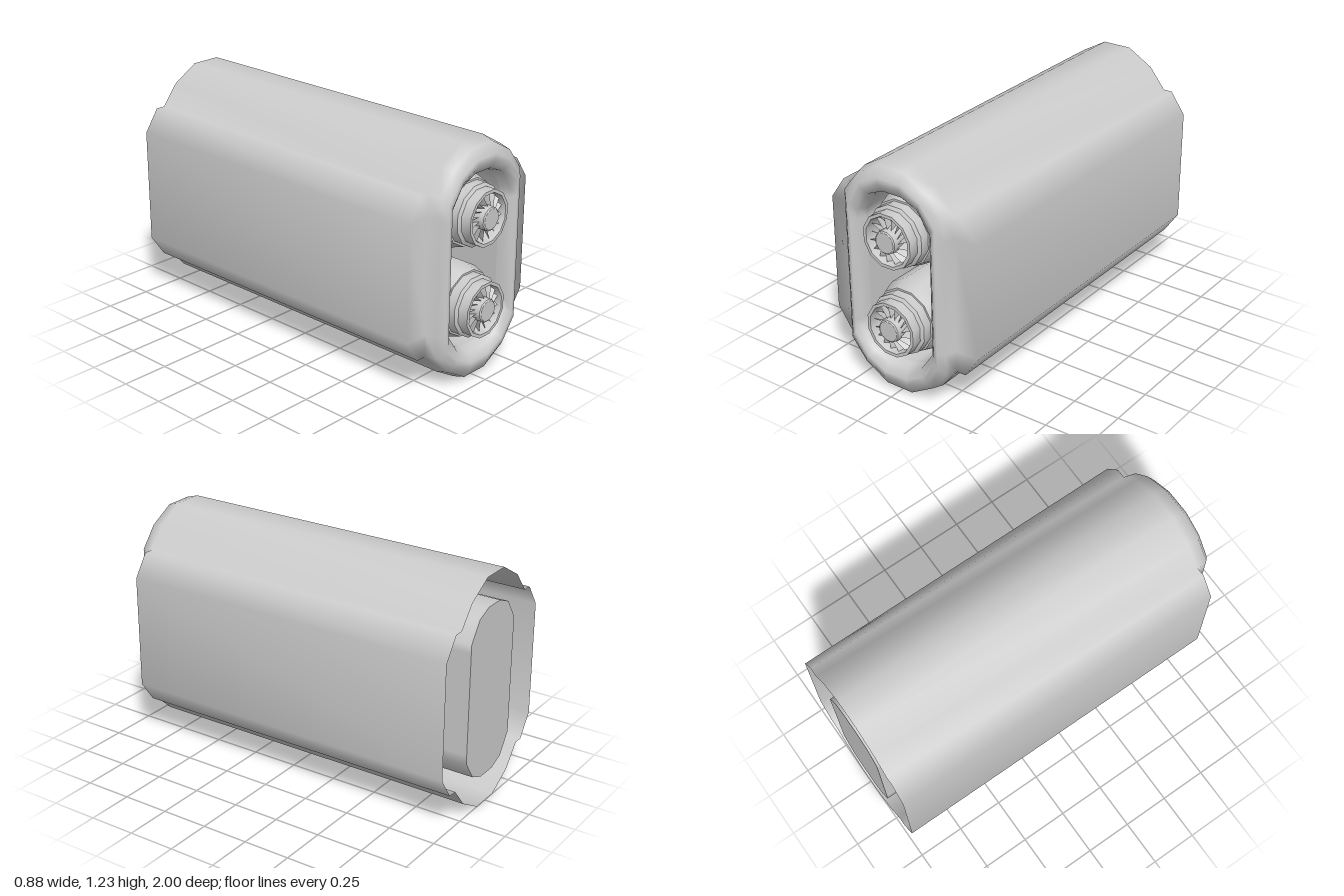
import * as THREE from 'three';
import { mergeVertices, toCreasedNormals } from 'three/addons/utils/BufferGeometryUtils.js';

const grey = new THREE.MeshStandardMaterial({ color: 0xcccccc, side: THREE.DoubleSide });
const MID = 0.615;

// Mirrors one quadrant (offsets from the centre line, side first) into a full counterclockwise loop
function mirrorLoop(quarter) {
  const back = [...quarter].reverse();
  return [
    ...quarter.map(([x, y]) => [x, MID + y]),
    ...back.map(([x, y]) => [-x, MID + y]),
    ...quarter.map(([x, y]) => [-x, MID - y]),
    ...back.map(([x, y]) => [x, MID - y]),
  ];
}

// Skins a list of { loop, z } sections, running from back to front
function loft(sections) {
  const n = sections[0].loop.length;
  const pos = sections.flatMap(({ loop, z }) => loop.flatMap(([x, y]) => [x, y, z]));
  const index = [];
  for (let i = 0; i < sections.length - 1; i++) {
    for (let j = 0; j < n; j++) {
      const a = i * n + j, b = i * n + (j + 1) % n;
      index.push(a, b, b + n, a, b + n, a + n);
    }
  }
  const geo = new THREE.BufferGeometry();
  geo.setAttribute('position', new THREE.Float32BufferAttribute(pos, 3));
  geo.setIndex(index);
  const merged = mergeVertices(geo, 1e-4);
  merged.computeVertexNormals();
  return merged;
}

function add(parent, name, geo) {
  const mesh = new THREE.Mesh(geo, grey);
  mesh.name = name;
  parent.add(mesh);
  return mesh;
}

// Twelve-sided turned part along z, from [radius, z] points
function turned(points) {
  const geo = new THREE.LatheGeometry(points.map(([r, z]) => new THREE.Vector2(r, z)), 12, Math.PI / 12);
  geo.rotateX(Math.PI / 2);
  return toCreasedNormals(geo, 0.6);
}

function createEngine() {
  const engine = new THREE.Group();
  add(engine, 'engineHousing', turned([
    [0, 0.2], [0.195, 0.2], [0.195, 0.8], [0.172, 0.87], [0.162, 0.87],
    [0.162, 0.92], [0.145, 0.93], [0.145, 0.985], [0.128, 0.985], [0.122, 0.96], [0.12, 0.9], [0, 0.9],
  ]));
  add(engine, 'fanHub', turned([
    [0.062, 0.9], [0.062, 0.985], [0.06, 0.995], [0.053, 1], [0, 1],
  ]));

  // Swept, pitched fan blades
  const blades = new THREE.Group();
  blades.name = 'fanBlades';
  const count = 16;
  const at = (r, a, z) => [r * Math.cos(a), r * Math.sin(a), z];
  const blade = new THREE.BufferGeometry();
  blade.setAttribute('position', new THREE.Float32BufferAttribute([
    ...at(0.058, 0, 0.975), ...at(0.122, 0.25, 0.965),
    ...at(0.122, 0.55, 0.91), ...at(0.058, 0.35, 0.91),
  ], 3));
  blade.setIndex([0, 1, 2, 0, 2, 3]);
  blade.computeVertexNormals();
  for (let i = 0; i < count; i++) {
    add(blades, 'fanBlade', blade).rotation.z = (i / count) * Math.PI * 2;
  }
  engine.add(blades);
  return engine;
}

export function createModel() {
  const model = new THREE.Group();

  // Hull outline with side bulges, the same outline without them, and the intake opening
  const hull = mirrorLoop([[0.44, 0.305], [0.36, 0.422], [0.31, 0.422], [0.22, 0.533], [0.08, 0.615]]);
  const rim = mirrorLoop([[0.31, 0.305], [0.31, 0.422], [0.31, 0.422], [0.22, 0.533], [0.08, 0.615]]);
  const opening = mirrorLoop([[0.21, 0.27], [0.21, 0.315], [0.21, 0.315], [0.14, 0.42], [0.055, 0.455]]);
  const blend = (t) => rim.map(([x, y], i) => [
    x + (opening[i][0] - x) * t, y + (opening[i][1] - y) * t,
  ]);

  // Outer hull, closed in front around a rounded intake lip, open at the back
  add(model, 'hull', loft([
    { loop: hull, z: -1 },
    { loop: hull, z: 0.865 },
    ...[[0, 0.865], [0.12, 0.93], [0.45, 0.96], [0.65, 0.96], [0.92, 0.935], [1, 0.88]]
      .map(([t, z]) => ({ loop: blend(t), z })),
  ]));

  // Inner duct with its end wall
  add(model, 'innerDuct', loft([{ loop: opening, z: -1 }, { loop: opening, z: 0.88 }]));
  const wall = new THREE.Shape(opening.map(([x, y]) => new THREE.Vector2(x, y)));
  add(model, 'ductEndWall', new THREE.ShapeGeometry(wall)).position.z = -1;

  // Two stacked engines
  [['upperEngine', 0.855], ['lowerEngine', 0.375]].forEach(([name, y]) => {
    const engine = createEngine();
    engine.name = name;
    engine.position.y = y;
    model.add(engine);
  });

  return model;
}
